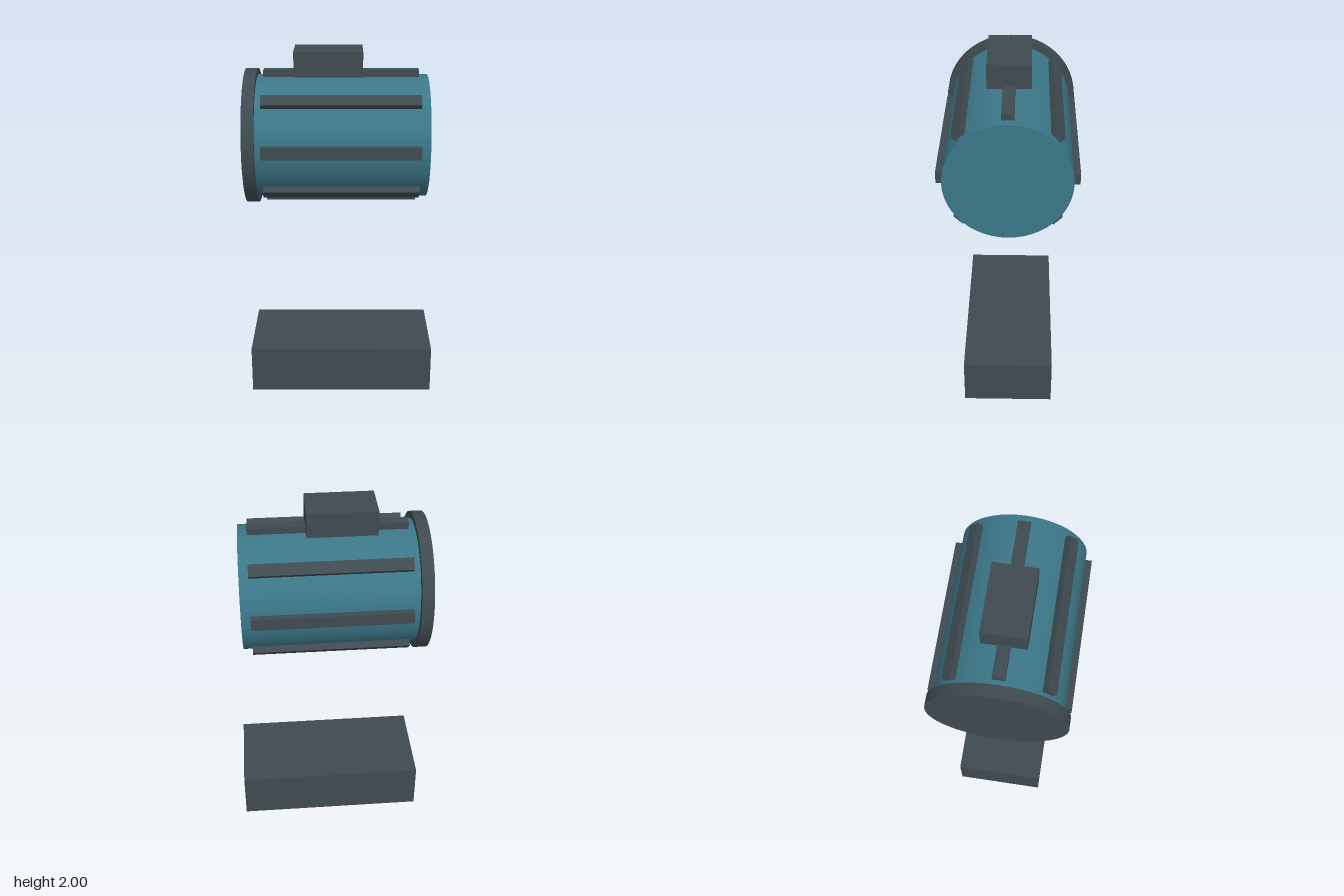
import * as THREE from 'three';

const AXIS_Y = 1.508; // height of the motor's horizontal axis

export function createModel() {
  const model = new THREE.Group();
  model.name = 'motor';
  const teal = new THREE.MeshStandardMaterial({ name: 'teal paint', color: 0x3b7787 });
  const grey = new THREE.MeshStandardMaterial({ name: 'dark grey', color: 0x3e4a50 });

  const add = (name, geometry, material, x, y, z, parent = model) => {
    const mesh = new THREE.Mesh(geometry, material);
    mesh.name = name;
    mesh.position.set(x, y, z);
    parent.add(mesh);
    return mesh;
  };
  // Closed cylinder lying along x between x0 and x1
  const drum = (name, radius, x0, x1, material) => {
    const geometry = new THREE.CylinderGeometry(radius, radius, x1 - x0, 48).rotateZ(-Math.PI / 2);
    return add(name, geometry, material, (x0 + x1) / 2, AXIS_Y, 0);
  };

  // Motor housing and end flange
  drum('housing', 0.341, -0.465, 0.476, teal);
  drum('endFlange', 0.376, -0.53, -0.464, grey);

  // Eight cooling ribs around the housing
  const ribs = new THREE.Group();
  ribs.name = 'coolingRibs';
  ribs.position.y = AXIS_Y;
  model.add(ribs);
  for (let i = 0; i < 8; i++) {
    const geometry = new THREE.BoxGeometry(0.855, 0.05, 0.066)
      .translate(0, 0.35, 0)
      .rotateX((i * Math.PI) / 4);
    add('coolingRib', geometry, grey, -0.002, 0, 0, ribs);
  }

  // Terminal box on top
  add('terminalBox', new THREE.BoxGeometry(0.375, 0.137, 0.236), grey, -0.071, 1.9315, 0);

  // Separate base block on the ground
  add('baseBlock', new THREE.BoxGeometry(1.058, 0.276, 0.514), grey, -0.001, 0.138, 0);

  return model;
}
